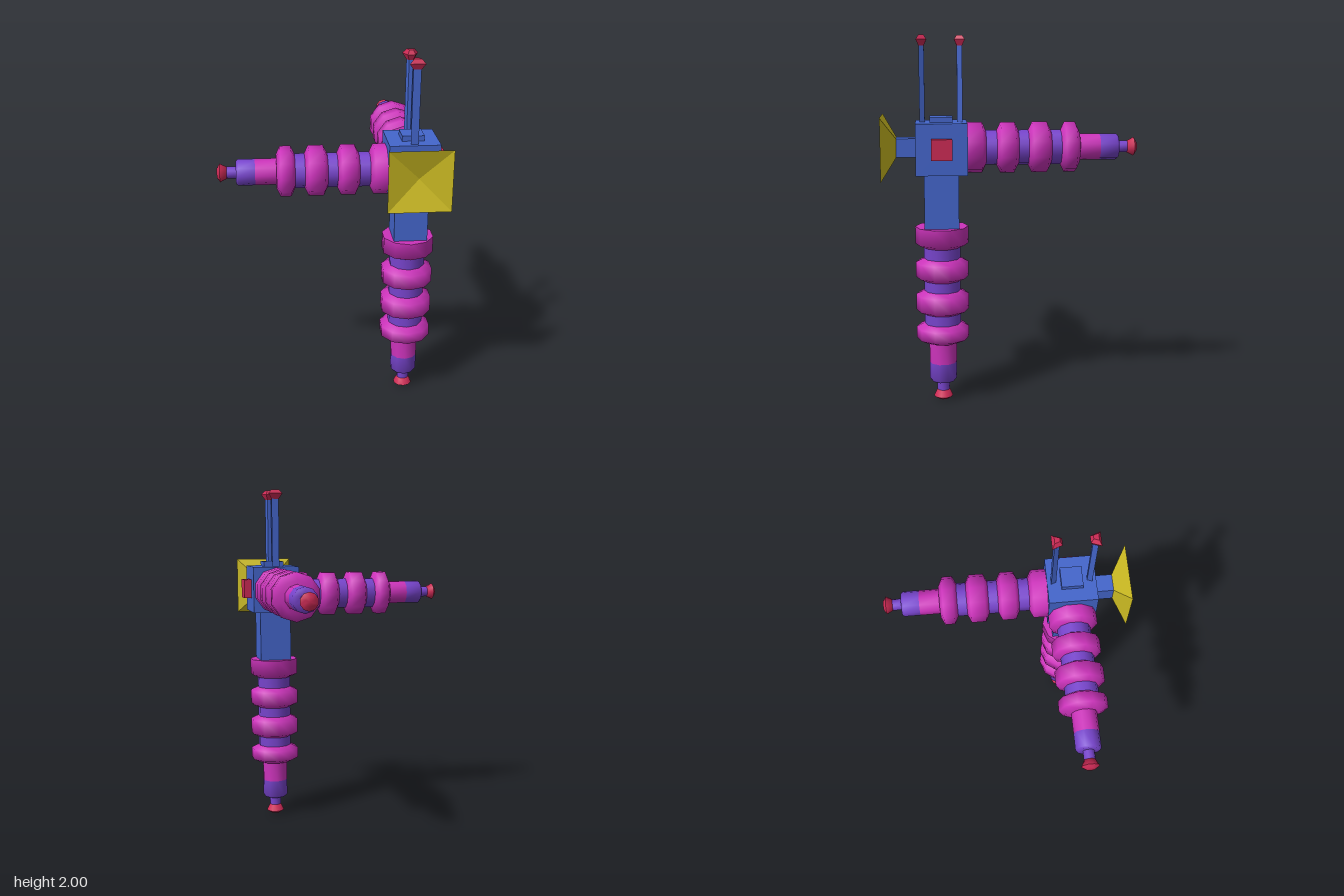
import * as THREE from 'three';
import { toCreasedNormals } from 'three/addons/utils/BufferGeometryUtils.js';

const mat = (color) => new THREE.MeshStandardMaterial({ color });
const BLUE = mat(0x4466cc), PINK = mat(0xcc33bb), VIOLET = mat(0x7744cc);
const RED = mat(0xcc2a55), YELLOW = mat(0xccbb22);
YELLOW.side = THREE.DoubleSide;

function add(parent, name, geometry, material) {
  const mesh = new THREE.Mesh(geometry, material);
  mesh.name = name;
  parent.add(mesh);
  return mesh;
}

function box(parent, name, material, size, pos) {
  add(parent, name, new THREE.BoxGeometry(...size), material).position.set(...pos);
}

// Ten-sided turned part; profile is [radius, height] pairs going up
function turned(profile) {
  const pts = profile.map(([r, y]) => new THREE.Vector2(r, y));
  return toCreasedNormals(new THREE.LatheGeometry(pts, 10), 1.2);
}

// Closed solid through stacked layers of [outline scale, height] of one outline (x, z)
function stacked(outline, layers) {
  const n = outline.length, pos = [], idx = [];
  for (const [s, y] of layers) for (const [x, z] of outline) pos.push(x * s, y, z * s);
  for (let k = 0; k < layers.length - 1; k++) {
    for (let i = 0; i < n; i++) {
      const a = k * n + i, b = k * n + (i + 1) % n;
      idx.push(a, b, a + n, b, b + n, a + n);
    }
  }
  const top = (layers.length - 1) * n;
  for (let i = 1; i < n - 1; i++) {
    idx.push(0, i + 1, i);
    idx.push(top, top + i, top + i + 1);
  }
  const g = new THREE.BufferGeometry();
  g.setAttribute('position', new THREE.Float32BufferAttribute(pos, 3));
  g.setIndex(idx);
  return toCreasedNormals(g, 0.5);
}

// Ribbed arm growing along +y from its root
function createArm(name) {
  const arm = new THREE.Group();
  arm.name = name;
  add(arm, 'armCore', turned([[0, 0.01], [0.099, 0.01], [0.099, 0.6], [0, 0.6]]), VIOLET);
  for (const [a, b] of [[0, 0.115], [0.175, 0.3], [0.355, 0.485], [0.54, 0.645]]) {
    const start = a === 0 ? [[0, a], [0.144, a]] : [[0.098, a], [0.144, a + 0.022]];
    add(arm, 'armRing', turned([...start, [0.144, b - 0.022], [0.098, b], [0, b]]), PINK);
  }
  add(arm, 'forearm', turned([[0, 0.6], [0.075, 0.6], [0.075, 0.765], [0, 0.765]]), PINK);
  add(arm, 'wrist', turned([[0, 0.765], [0.075, 0.765], [0.075, 0.86], [0.066, 0.872],
    [0.034, 0.872], [0.034, 0.94], [0, 0.94]]), VIOLET);
  add(arm, 'armTip', turned([[0, 0.925], [0.034, 0.925], [0.053, 0.963], [0.027, 0.98], [0, 0.98]]), RED);
  return arm;
}

// Hollow square dish with its apex toward the back
function createDish() {
  const half = 0.168, back = 0.05, depth = 0.078;
  const corners = [[-1, -1], [1, -1], [1, 1], [-1, 1]];
  const pos = [];
  for (let i = 0; i < 4; i++) {
    const [ax, ay] = corners[i], [bx, by] = corners[(i + 1) % 4];
    const a = [ax * half, ay * half, 0], b = [bx * half, by * half, 0];
    const c = [ax * back, ay * back, -depth], d = [bx * back, by * back, -depth];
    pos.push(...a, ...b, 0, 0, -0.05);
    pos.push(...a, ...c, ...b, ...b, ...c, ...d);
  }
  const g = new THREE.BufferGeometry();
  g.setAttribute('position', new THREE.Float32BufferAttribute(pos, 3));
  g.computeVertexNormals();
  return g;
}

export function createModel() {
  const model = new THREE.Group();
  model.name = 'armedModule';

  // Central hub and its fittings
  box(model, 'hub', BLUE, [0.273, 0.273, 0.273], [0.43, 1.409, 0.368]);
  box(model, 'neck', BLUE, [0.184, 0.3, 0.184], [0.429, 1.13, 0.37]);
  box(model, 'roofPlate', BLUE, [0.12, 0.04, 0.12], [0.43, 1.554, 0.368]);
  box(model, 'sideLight', RED, [0.06, 0.11, 0.11], [0.58, 1.412, 0.368]);

  // Front dish on its stem
  box(model, 'dishStem', BLUE, [0.1, 0.1, 0.13], [0.431, 1.411, 0.555]);
  add(model, 'dish', createDish(), YELLOW).position.set(0.431, 1.411, 0.685);

  // Arms: down, right and back
  const down = createArm('lowerArm');
  down.position.set(0.427, 0.98, 0.37);
  down.rotation.x = Math.PI;
  const right = createArm('rightArm');
  right.position.set(0.313, 1.374, 0.368);
  right.rotation.z = Math.PI / 2;
  right.scale.setScalar(0.945);
  const rear = createArm('rearArm');
  rear.position.set(0.427, 1.406, 0.239);
  rear.rotation.x = -Math.PI / 2;
  rear.scale.setScalar(0.945);
  model.add(down, right, rear);

  // Two mirrored antennas with a trapezoid section, wide side outward
  const section = [[-0.042, 0.028], [0.042, 0.028], [0.021, -0.028], [-0.021, -0.028]];
  for (const side of [1, -1]) {
    const antenna = new THREE.Group();
    antenna.name = side > 0 ? 'frontAntenna' : 'backAntenna';
    add(antenna, 'antennaRod', stacked(section, [[0.5, 1.53], [0.5, 1.96]]), BLUE);
    add(antenna, 'antennaTip', stacked(section, [[0.5, 1.945], [1, 1.977], [0.5, 2]]), RED);
    antenna.position.set(0.428, 0, 0.368 + side * 0.1);
    if (side < 0) antenna.rotation.y = Math.PI;
    model.add(antenna);
  }
  return model;
}
